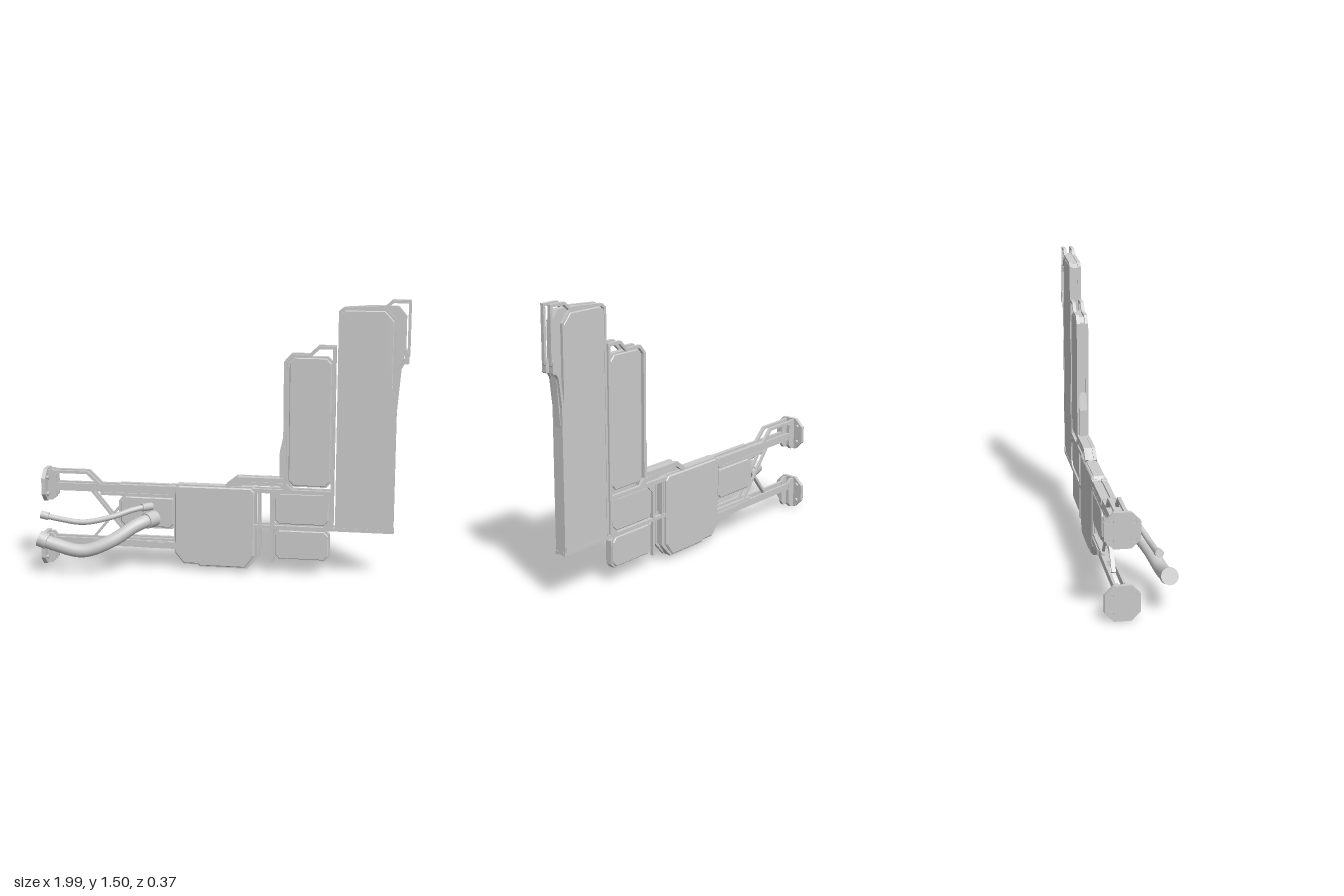
import * as THREE from 'three';

const ZC = -0.098; // mid plane of the flat structure
const V = (x, y, z) => new THREE.Vector3(x, y, z);

export function createModel() {
  const root = new THREE.Group();
  const mat = new THREE.MeshStandardMaterial({ color: 0xcccccc, side: THREE.DoubleSide });

  const add = (name, geo, parent = root) => {
    const m = new THREE.Mesh(geo, mat);
    m.name = name;
    parent.add(m);
    return m;
  };
  const toShape = (pts) => new THREE.Shape(pts.map((p) => new THREE.Vector2(p[0], p[1])));

  // flat plate in the xy plane spanning z0..z1, with optional chamfered rim
  const slab = (name, pts, z0, z1, bevel = 0) => {
    const geo = new THREE.ExtrudeGeometry(toShape(pts), {
      depth: z1 - z0 - 2 * bevel, bevelEnabled: bevel > 0, bevelSize: bevel,
      bevelThickness: bevel, bevelOffset: -bevel, bevelSegments: 1,
    });
    geo.translate(0, 0, z0 + bevel);
    return add(name, geo);
  };
  const core = (name, pts, half) => slab(name, pts, ZC - half, ZC + half);
  // the same plate on both faces of the structure
  const pair = (name, pts, a, b, bevel = 0) => {
    slab(name + 'Front', pts, ZC + a, ZC + b, bevel);
    slab(name + 'Back', pts, ZC - b, ZC - a, bevel);
  };
  const rect = (x0, y0, x1, y1, c = 0) => c
    ? [[x0 + c, y0], [x1 - c, y0], [x1, y0 + c], [x1, y1 - c], [x1 - c, y1], [x0 + c, y1], [x0, y1 - c], [x0, y0 + c]]
    : [[x0, y0], [x1, y0], [x1, y1], [x0, y1]];

  // mitred outline of a strip of width w following a path
  const strip = (path, w) => {
    const left = [], right = [];
    path.forEach((p, i) => {
      const a = path[Math.max(i - 1, 0)], b = path[Math.min(i + 1, path.length - 1)];
      const d1 = new THREE.Vector2(p[0] - a[0], p[1] - a[1]).normalize();
      const d2 = new THREE.Vector2(b[0] - p[0], b[1] - p[1]).normalize();
      const t = d1.clone().add(d2).normalize();
      const k = w / 2 / t.dot(d1.lengthSq() ? d1 : d2);
      left.push([p[0] - t.y * k, p[1] + t.x * k]);
      right.push([p[0] + t.y * k, p[1] - t.x * k]);
    });
    return [...right, ...left.reverse()];
  };
  const rail = (name, path, w, a = 0.014, b = 0.032) => pair(name, strip(path, w), a, b);

  // central body
  const body = [[-0.24, 0.48], [-0.26, 0.46], [-0.26, 0.09], [-0.21, 0.03], [-0.13, 0.03], [-0.12, 0.02],
    [0.14, 0.02], [0.19, 0.09], [0.19, 0.46], [0.17, 0.48]];
  core('bodyCore', body, 0.026);
  pair('bodyPlate', body.map(([x, y]) => [-0.035 + (x + 0.035) * 0.97, 0.25 + (y - 0.25) * 0.97]), 0.02, 0.038, 0.006);
  rail('bodyEdgeRail', [[-0.1, 0.028], [0.142, 0.028], [0.208, 0.1], [0.208, 0.47]], 0.014);
  core('bodyTopRidge', [[0.02, 0.47], [0.09, 0.532], [0.33, 0.532], [0.33, 0.5], [0.13, 0.5], [0.1, 0.47]], 0.014);
  rail('topRidgeRail', [[0.03, 0.475], [0.09, 0.522], [0.34, 0.522]], 0.024);

  // long horizontal and vertical rails
  rail('upperCrossRail', [[0.1, 0.462], [0.61, 0.462]], 0.022);
  rail('middleCrossRail', [[0.17, 0.263], [0.935, 0.263]], 0.018);
  rail('sideDropRail', [[0.279, 0.065], [0.279, 0.47]], 0.018);
  rail('ridgeBrace', [[0.12, 0.5], [0.32, 0.5], [0.38, 0.465]], 0.018);

  // flat panels with a raised chamfered face on both sides
  const panel = (name, x0, y0, x1, y1, c) => {
    core(name + 'Core', rect(x0, y0, x1, y1, c), 0.018);
    pair(name + 'Face', rect(x0 + 0.007, y0 + 0.007, x1 - 0.007, y1 - 0.007, c), 0.016, 0.028, 0.004);
  };
  panel('lowerPanel', 0.29, 0.08, 0.592, 0.252, 0.022);
  panel('middlePanel', 0.288, 0.275, 0.592, 0.458, 0.025);
  panel('innerPanel', 0.36, 0.49, 0.597, 1.197, 0.028);

  // frame of the inner panel, with its open handle at the top
  rail('innerPanelFrame', [[0.345, 0.47], [0.345, 1.165], [0.378, 1.202], [0.475, 1.202], [0.522, 1.247],
    [0.602, 1.247], [0.602, 0.27]], 0.016);
  core('innerFrameSpine', rect(0.34, 0.47, 0.37, 1.17), 0.014);
  core('innerPanelFin', [[0.318, 0.51], [0.34, 0.51], [0.34, 0.78], [0.318, 0.68]], 0.02);

  // tall outer panel
  const tall = [[0.622, 0.256], [0.932, 0.256], [0.932, 1.0], [0.915, 1.06], [0.915, 1.4], [0.865, 1.453],
    [0.65, 1.453], [0.622, 1.43]];
  core('tallPanelCore', tall, 0.018);
  pair('tallPanelFace', tall.map(([x, y]) => [0.775 + (x - 0.775) * 0.95, 0.86 + (y - 0.86) * 0.985]), 0.016, 0.03, 0.004);
  core('tallPanelBackbone', [[0.9, 0.7], [0.932, 0.9], [0.952, 1.15], [0.972, 1.24], [0.972, 1.42], [0.93, 1.47],
    [0.86, 1.47], [0.65, 1.455], [0.65, 1.4], [0.9, 1.3]], 0.018);
  rail('tallPanelFrame', [[0.628, 0.26], [0.628, 1.435], [0.65, 1.452], [0.79, 1.462], [0.868, 1.464], [0.9, 1.494],
    [0.987, 1.494], [0.987, 1.215], [0.943, 1.145], [0.925, 1.0], [0.925, 0.26]], 0.014);
  rail('tallPanelInnerTrim', [[0.79, 1.453], [0.87, 1.453], [0.914, 1.4], [0.914, 1.02]], 0.01, 0.016, 0.034);
  // clamp blocks on the handle
  pair('handleClamp', rect(0.968, 1.17, 0.99, 1.24, 0.006), 0.01, 0.036);

  // small triangular gussets in the panel corners
  for (const [x, y, sx, sy] of [[0.923, 0.272, -1, 1], [0.594, 0.272, -1, 1], [0.288, 0.452, 1, -1],
    [0.594, 0.452, -1, -1], [0.352, 0.472, 1, 1]]) {
    const tri = [[x, y], [x + sx * 0.038, y], [x, y + sy * 0.038]];
    pair('cornerGusset', sx * sy > 0 ? tri : tri.reverse(), 0.018, 0.033);
  }

  // twin-rail arms reaching to the mounting flanges
  rail('upperArm', [[-0.97, 0.443], [-0.22, 0.443]], 0.042, 0.018, 0.032);
  rail('upperArmLip', [[-0.67, 0.412], [-0.24, 0.412]], 0.016);
  rail('upperArmSleeve', [[-0.57, 0.453], [-0.24, 0.453]], 0.03, 0.012, 0.038);
  core('upperArmSpacer', rect(-0.74, 0.425, -0.24, 0.455), 0.02);
  rail('upperTruss', [[-0.96, 0.526], [-0.745, 0.526], [-0.665, 0.45]], 0.015);
  rail('lowerArm', [[-0.97, 0.135], [-0.22, 0.135]], 0.038, 0.018, 0.032);
  rail('lowerArmLip', [[-0.55, 0.164], [-0.24, 0.164]], 0.012);
  rail('lowerArmSleeve', [[-0.44, 0.133], [-0.22, 0.133]], 0.034, 0.012, 0.037);
  core('lowerArmSpacer', rect(-0.6, 0.12, -0.24, 0.15), 0.02);
  pair('bodyCornerBlock', rect(-0.29, 0.415, -0.25, 0.47, 0.008), 0.01, 0.04);
  // crossed braces
  rail('braceDown', [[-0.73, 0.435], [-0.49, 0.14]], 0.014, 0.012, 0.024);
  rail('braceUp', [[-0.73, 0.14], [-0.5, 0.42]], 0.014, -0.002, 0.011);

  // pipe mounting box
  const box = [[-0.54, 0.225], [-0.27, 0.225], [-0.25, 0.245], [-0.25, 0.41], [-0.54, 0.41], [-0.57, 0.375], [-0.57, 0.255]];
  core('pipeMountBox', box, 0.024);
  pair('pipeMountFace', box.map(([x, y]) => [-0.41 + (x + 0.41) * 0.92, 0.317 + (y - 0.317) * 0.9]), 0.02, 0.034, 0.005);

  // octagonal mounting flanges with bolt holes, cheeks and bolts
  const flange = (name, x, y0) => {
    const g = new THREE.Group();
    g.name = name;
    const shape = toShape(rect(-0.088, -0.09, 0.088, 0.09, 0.045));
    const corners = [[-1, -1], [1, -1], [1, 1], [-1, 1]].map(([a, b]) => [a * 0.055, b * 0.046]);
    for (const [u, v] of corners) {
      shape.holes.push(new THREE.Path().absarc(u, v, 0.012, 0, Math.PI * 2, true));
      const bolt = add('flangeBolt', new THREE.CylinderGeometry(0.011, 0.011, 0.034, 12), g);
      bolt.rotation.z = Math.PI / 2;
      bolt.position.set(0.018, v, u);
    }
    const plate = add('flangePlate', new THREE.ExtrudeGeometry(shape, { depth: 0.022, bevelEnabled: false, curveSegments: 8 }), g);
    plate.rotation.y = Math.PI / 2;
    const cheek = toShape([[0.01, -0.085], [0.05, -0.085], [0.07, -0.06], [0.07, 0.06], [0.05, 0.085], [0.01, 0.085]]);
    for (const z of [-0.034, 0.016]) {
      const m = add('flangeCheek', new THREE.ExtrudeGeometry(cheek, { depth: 0.018, bevelEnabled: false }), g);
      m.position.z = z;
    }
    g.position.set(x, y0 + 0.09, ZC);
    root.add(g);
  };
  flange('upperFlange', -0.99, 0.362);
  flange('lowerFlange', -1, 0);

  // curved pipes with a collar at each end
  const pipe = (name, pts, r, collar) => {
    const curve = new THREE.CatmullRomCurve3(pts.map((p) => V(...p)));
    add(name, new THREE.TubeGeometry(curve, 48, r, 20));
    for (const [t0, t1] of [[0, 0.07], [0.9, 1]]) {
      const a = curve.getPointAt(t0), b = curve.getPointAt(t1);
      const m = add(name + 'Collar', new THREE.CylinderGeometry(collar, collar, a.distanceTo(b), 24));
      m.position.copy(a).lerp(b, 0.5);
      m.quaternion.setFromUnitVectors(V(0, 1, 0), b.clone().sub(a).normalize());
    }
  };
  pipe('largePipe', [[-0.965, 0.2, 0.135], [-0.88, 0.172, 0.138], [-0.72, 0.143, 0.14], [-0.57, 0.195, 0.105],
    [-0.46, 0.262, 0.04], [-0.4, 0.284, -0.01], [-0.365, 0.286, -0.065]], 0.036, 0.043);
  pipe('smallPipe', [[-0.967, 0.32, 0.083], [-0.87, 0.301, 0.083], [-0.73, 0.287, 0.083], [-0.58, 0.315, 0.055],
    [-0.48, 0.345, 0.01], [-0.42, 0.354, -0.03], [-0.385, 0.352, -0.068]], 0.015, 0.021);

  return root;
}
